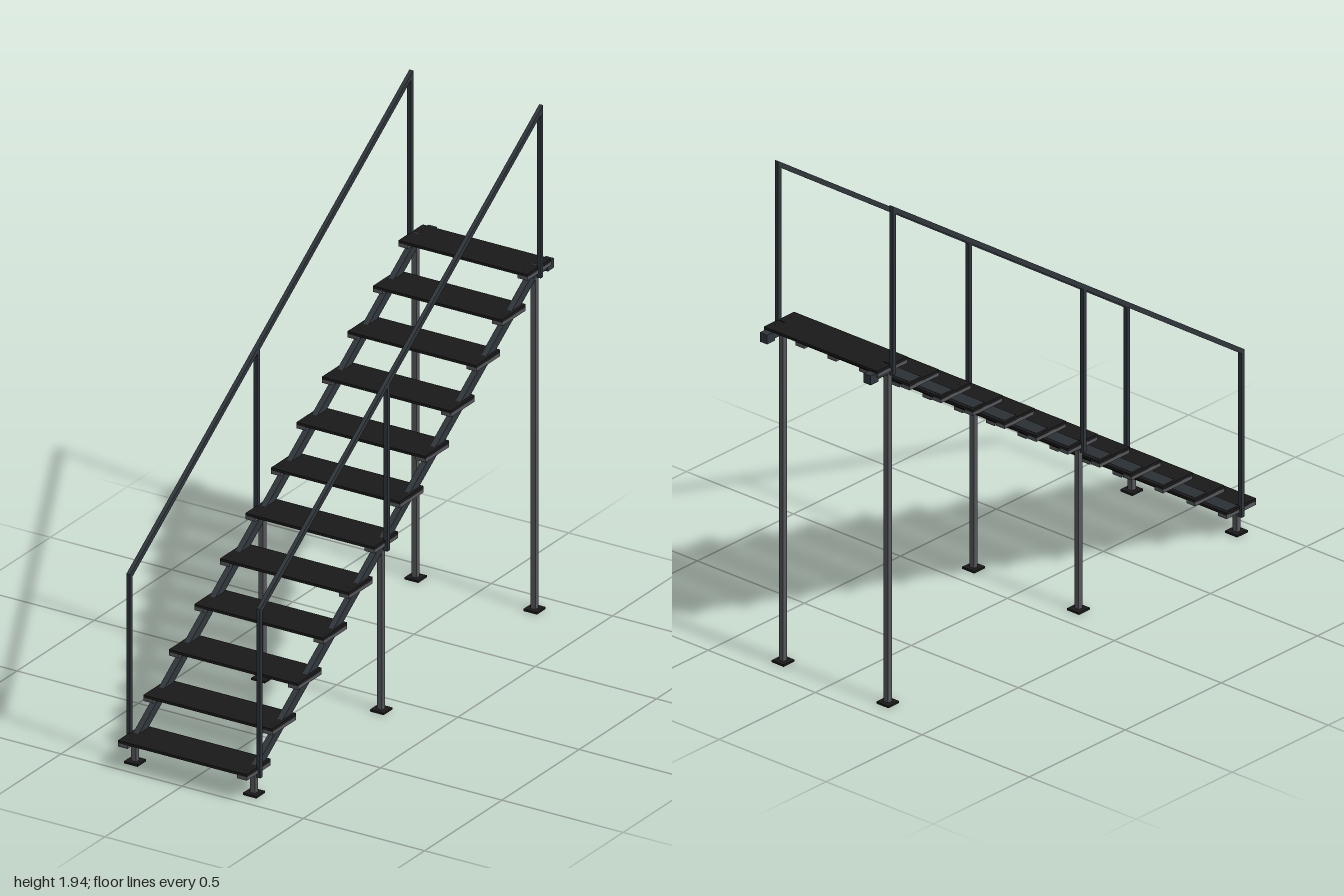
import * as THREE from 'three';

const mat = (name, color) => {
  const m = new THREE.MeshStandardMaterial({ color });
  m.name = name;
  return m;
};

export function createModel() {
  const paint = mat('dark painted steel', 0x30363c);
  const steel = mat('grey steel', 0x55565a);
  const tread = mat('black tread', 0x1a1a1a);

  const model = new THREE.Group();
  model.name = 'staircase';

  const STEPS = 12, RUN = 0.165, RISE = 0.11;
  const FRONT = 0.92, BACK = -0.895, SLOPE = RISE / RUN;
  const lineY = (z, y0) => y0 + (FRONT - z) * SLOPE;

  function box(parent, name, material, w, h, d, x, y, z) {
    const mesh = new THREE.Mesh(new THREE.BoxGeometry(w, h, d), material);
    mesh.position.set(x, y, z);
    mesh.name = name;
    parent.add(mesh);
    return mesh;
  }

  // Sloping bar with plumb-cut ends; y0 is its underside at the front end
  function slopedBar(parent, name, x, width, y0, height, zFront, zBack) {
    const yF = lineY(zFront, y0), yB = lineY(zBack, y0);
    const shape = new THREE.Shape([
      new THREE.Vector2(zBack, yB), new THREE.Vector2(zFront, yF),
      new THREE.Vector2(zFront, yF + height), new THREE.Vector2(zBack, yB + height),
    ]);
    const geo = new THREE.ExtrudeGeometry(shape, { depth: width, bevelEnabled: false });
    geo.translate(0, 0, -width / 2).rotateY(-Math.PI / 2);
    const mesh = new THREE.Mesh(geo, paint);
    mesh.position.x = x;
    mesh.name = name;
    parent.add(mesh);
  }

  // Treads with their side brackets and bolts
  const boltGeo = new THREE.CylinderGeometry(0.004, 0.004, 0.004, 6);
  for (let i = 0; i < STEPS; i++) {
    const step = new THREE.Group();
    step.name = 'step';
    step.position.set(0, 0.11 + i * RISE, 0.9215 - i * RUN);
    model.add(step);
    box(step, 'treadBoard', tread, 0.53, 0.01, 0.157, 0, -0.005, 0);
    for (const s of [-1, 1]) {
      box(step, 'treadBracket', steel, 0.04, 0.014, 0.154, s * 0.246, -0.017, 0);
      for (const z of [-0.04, 0.04]) {
        const bolt = new THREE.Mesh(boltGeo, steel);
        bolt.position.set(s * 0.24, 0.002, z);
        bolt.name = 'treadBolt';
        step.add(bolt);
      }
    }
  }

  // Each side: stringer, legs on base plates, railing and top hook
  for (const s of [-1, 1]) {
    const side = new THREE.Group();
    side.name = s > 0 ? 'leftSide' : 'rightSide';
    model.add(side);

    slopedBar(side, 'stringer', s * 0.2435, 0.023, 0.068, 0.04, FRONT, BACK - 0.008);
    slopedBar(side, 'handrail', s * 0.268, 0.016, 0.7, 0.022, FRONT + 0.008, BACK - 0.008);

    for (const z of [FRONT, 0.097, BACK]) {
      const top = lineY(z, 0.08);
      box(side, 'leg', steel, 0.02, top, 0.02, s * 0.245, top / 2, z);
      box(side, 'basePlate', tread, 0.056, 0.008, 0.056, s * 0.245, 0.004, z);
      const railTop = lineY(z, 0.708);
      box(side, 'railPost', paint, 0.016, railTop - top + 0.01, 0.016,
        s * 0.268, (railTop + top - 0.01) / 2, z);
      box(side, 'postFixing', paint, 0.02, 0.014, 0.014, s * 0.256, top + 0.012, z);
    }

    box(side, 'topHook', paint, 0.034, 0.036, 0.04, s * 0.242, 1.292, -0.98);
    box(side, 'hookArm', paint, 0.03, 0.016, 0.1, s * 0.242, 1.29, -0.92);
  }

  return model;
}
